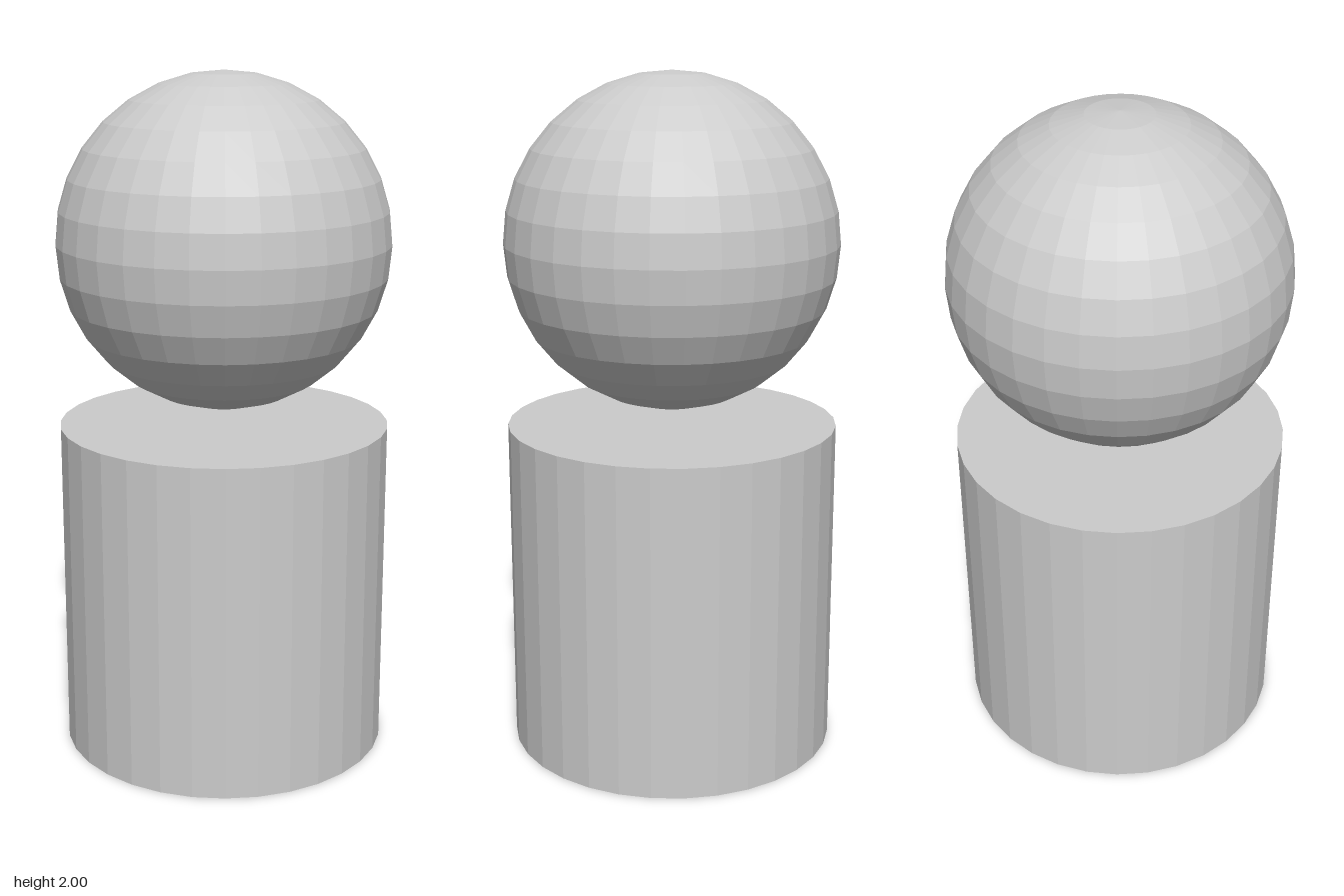
import * as THREE from 'three';

export function createModel() {
  const model = new THREE.Group();
  const material = new THREE.MeshStandardMaterial({ color: 0xcccccc, flatShading: true });
  const radius = 0.485, bodyHeight = 0.98, sides = 32;

  function addPart(name, geometry, y) {
    const mesh = new THREE.Mesh(geometry, material);
    mesh.name = name;
    mesh.position.y = y;
    model.add(mesh);
  }

  // Capped cylinder standing on the ground
  addPart('body', new THREE.CylinderGeometry(radius, radius, bodyHeight, sides), bodyHeight / 2);

  // Faceted ball floating just above the body
  addPart('head', new THREE.SphereGeometry(radius, sides, sides / 2), 2 - radius);

  return model;
}
